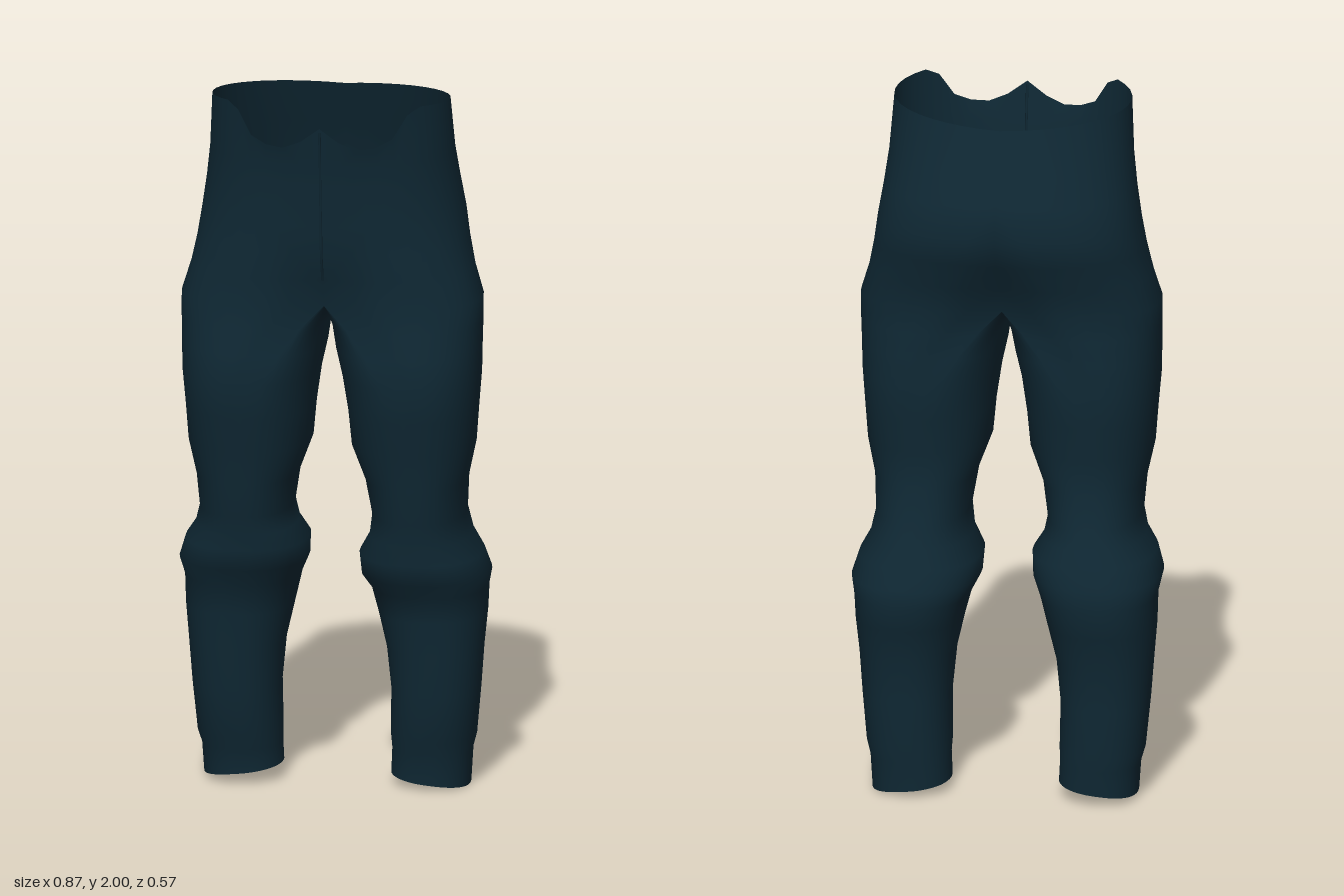
import * as THREE from 'three';
import { mergeVertices, mergeGeometries } from 'three/addons/utils/BufferGeometryUtils.js';

const HALF = 20; // segments from the front seam round to the back seam
const { lerp, smoothstep } = THREE.MathUtils;
const bump = (v, centre, width) => Math.exp(-(((v - centre) / width) ** 2));
const pow = (v, n) => Math.sign(v) * Math.pow(Math.abs(v), 2 / n);

// Hips, bottom to top: y, half width, front z, back z
const HIPS = [
  [1.42, 0.42, 0.24, -0.21],
  [1.5, 0.395, 0.245, -0.23],
  [1.58, 0.378, 0.25, -0.262],
  [1.66, 0.366, 0.252, -0.287],
  [1.75, 0.352, 0.26, -0.268],
  [1.84, 0.341, 0.268, -0.238],
  [1.96, 0.332, 0.283, -0.2],
];

// Legs, bottom to top: y, outer x, inner x, front z, back z
const LEGS = [
  [0.02, 0.372, 0.152, 0.03, -0.2],
  [0.1, 0.378, 0.155, 0.035, -0.205],
  [0.14, 0.389, 0.153, 0.058, -0.212],
  [0.28, 0.402, 0.155, 0.08, -0.218],
  [0.4, 0.411, 0.143, 0.09, -0.222],
  [0.5, 0.42, 0.12, 0.105, -0.25],
  [0.58, 0.423, 0.1, 0.115, -0.267],
  [0.63, 0.434, 0.076, 0.16, -0.258],
  [0.69, 0.415, 0.072, 0.17, -0.24],
  [0.74, 0.385, 0.102, 0.17, -0.222],
  [0.8, 0.371, 0.112, 0.185, -0.205],
  [0.9, 0.378, 0.095, 0.2, -0.18],
  [1.0, 0.4, 0.057, 0.215, -0.18],
  [1.1, 0.407, 0.048, 0.237, -0.198],
  [1.2, 0.415, 0.037, 0.255, -0.205],
  [1.28, 0.416, 0.023, 0.255, -0.205],
  [1.35, 0.418, 0.017, 0.248, -0.205],
];

// Uneven waist edge height, from the front seam round to the side
const RIM = [1.95, 1.91, 1.89, 1.895, 1.915, 1.98, 2.0];

// One point of a hip section; angles beyond PI run along the centre plane between the legs
function hipPoint([y, w, zf, zb], a) {
  const n = lerp(2.5, 2.05, smoothstep(y, 1.42, 1.96));
  const x = a > Math.PI ? 0 : w * pow(Math.sin(a), n);
  const dent = 1 - 0.22 * bump(y, 1.42, 0.1) * bump(x, 0, 0.09);
  return [x, y, (zf + zb) / 2 + ((zf - zb) / 2) * pow(Math.cos(a), n) * dent];
}

function hipRing(row, isRim) {
  return Array.from({ length: HALF + 1 }, (_, j) => {
    const p = hipPoint(row, (j / HALF) * Math.PI);
    if (j % HALF === 0) p[0] = 0;
    if (isRim) p[1] = RIM[j] ?? lerp(2.0, 1.96, (j - 6) / (HALF - 6));
    return p;
  });
}

// Leg section, easing from an oval below to half of the hip section above
function legRing([y, xo, xi, zf, zb], side, isHem) {
  const n = 2.3;
  const blend = Math.max(0, (y - 1.1) / 0.32) ** 2;
  const kneeLift = side * -0.015 * bump(y, 0.66, 0.12); // the right knee fold sits higher
  return Array.from({ length: HALF * 2 + 1 }, (_, j) => {
    const a = ((j % (HALF * 2)) / HALF) * Math.PI;
    const x = (xo + xi) / 2 + ((xo - xi) / 2) * pow(Math.sin(a), n);
    const z = (zf + zb) / 2 + ((zf - zb) / 2) * pow(Math.cos(a), n);
    const h = hipPoint(HIPS[0], a);
    const hem = isHem ? side * -0.0075 + 0.0025 - 0.015 * Math.sin(a) : 0;
    return [lerp(x, h[0], blend), y + kneeLift + hem, lerp(z, h[2], blend)];
  });
}

// Top of a leg: outer half meets the hips, inner half is the crotch saddle
function crotchRing() {
  return Array.from({ length: HALF * 2 + 1 }, (_, j) => {
    const a = ((j % (HALF * 2)) / HALF) * Math.PI;
    const p = hipPoint(HIPS[0], a);
    if (j % HALF === 0) p[0] = 0;
    if (a > Math.PI) p[1] -= 0.03 * Math.sin(a) ** 2;
    return p;
  });
}

// Skin a stack of rings, mirrored for the right side
function loft(rings, side) {
  const cols = rings[0].length;
  const index = [];
  for (let i = 0; i < rings.length - 1; i++) {
    for (let j = 0; j < cols - 1; j++) {
      const a = i * cols + j, b = a + 1, c = b + cols, d = a + cols;
      index.push(...(side > 0 ? [a, b, c, a, c, d] : [a, c, b, a, d, c]));
    }
  }
  const points = rings.flat().flatMap(([x, y, z]) => [x * side, y, z]);
  const geometry = new THREE.BufferGeometry();
  geometry.setAttribute('position', new THREE.Float32BufferAttribute(points, 3));
  geometry.setIndex(index);
  return geometry;
}

export function createModel() {
  const group = new THREE.Group();
  group.name = 'trousers';
  const cloth = new THREE.MeshStandardMaterial({ color: 0x0f2834, side: THREE.DoubleSide });
  cloth.name = 'dark navy cloth';

  // Hips and both legs, welded so the cloth shades smoothly across the joins
  const parts = [];
  for (const side of [1, -1]) {
    parts.push(loft(HIPS.map((row, i) => hipRing(row, i === HIPS.length - 1)), side));
    parts.push(loft([...LEGS.map((row, i) => legRing(row, side, i === 0)), crotchRing()], side));
  }
  const skin = mergeVertices(mergeGeometries(parts), 1e-4);
  skin.computeVertexNormals();
  const body = new THREE.Mesh(skin, cloth);
  body.name = 'hipsAndLegs';
  group.add(body);

  // Front fly seam
  const seam = HIPS.slice(1).map((row) => {
    const [x, y, z] = hipPoint(row, 0);
    return new THREE.Vector3(x, Math.min(y, 1.94), z - 0.001);
  });
  const fly = new THREE.Mesh(new THREE.TubeGeometry(new THREE.CatmullRomCurve3(seam), 16, 0.004, 5), cloth);
  fly.name = 'flySeam';
  group.add(fly);
  return group;
}
